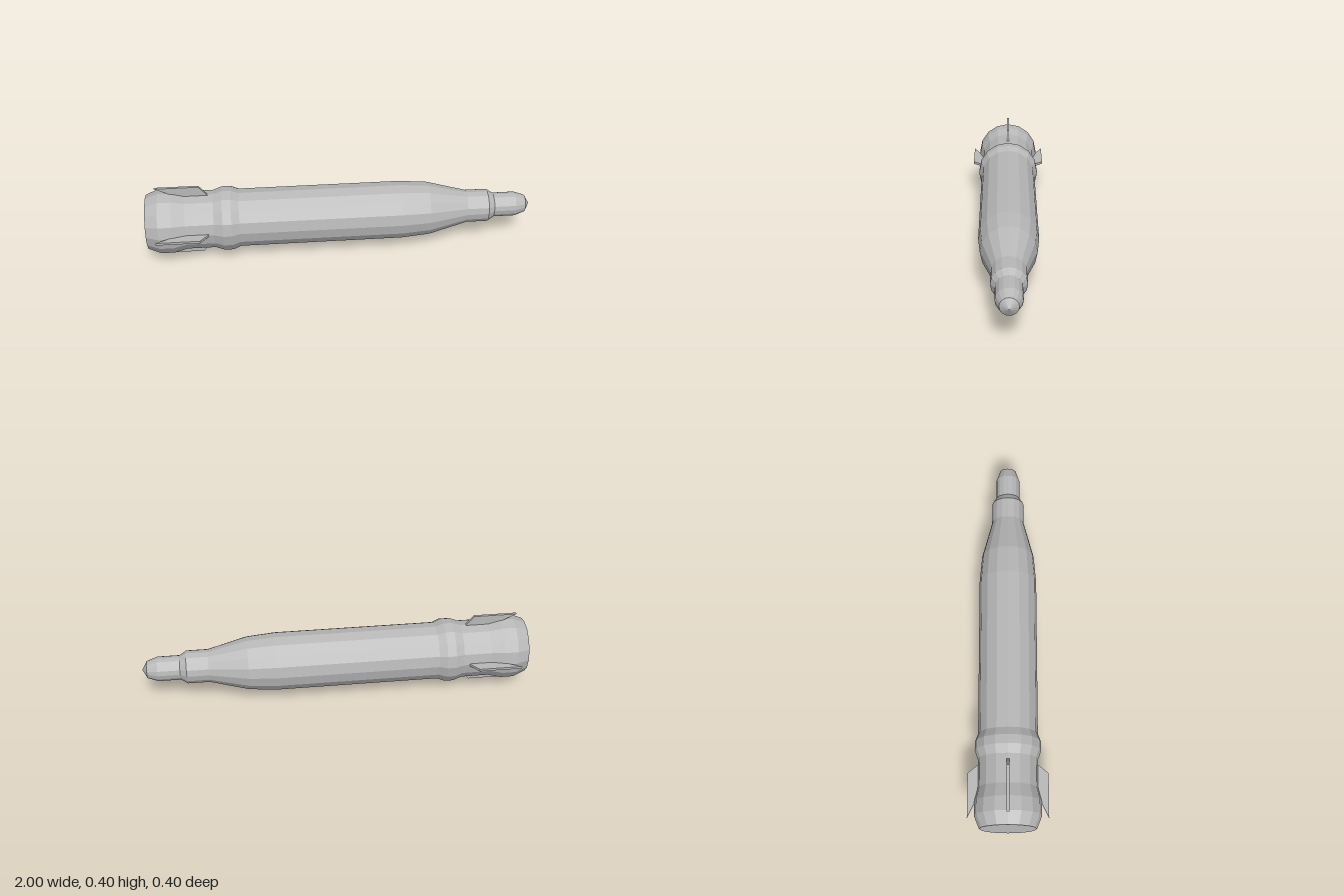
import * as THREE from 'three';

export function createModel() {
  const model = new THREE.Group();
  model.name = 'missile';
  const metal = new THREE.MeshStandardMaterial({ color: 0xb8b8b8, flatShading: true });
  metal.name = 'grey metal';
  const AXIS_Y = 0.2;

  // Body: sixteen-sided lathe, given as [x along the length, radius]
  const profile = [
    [-1, 0], [-1, 0.142], [-0.935, 0.168], [-0.865, 0.168], [-0.8, 0.151], // tail
    [-0.655, 0.151], [-0.61, 0.167], [-0.565, 0.167], [-0.525, 0.151],     // collar
    [0.31, 0.151], [0.457, 0.139], [0.66, 0.086],                          // barrel and taper
    [0.772, 0.086], [0.806, 0.064], [0.92, 0.064], [0.975, 0.045], [1, 0], // stepped nose
  ].map(([x, r]) => new THREE.Vector2(r, x));
  const bodyGeometry = new THREE.LatheGeometry(profile, 16);
  bodyGeometry.rotateZ(-Math.PI / 2);
  const body = new THREE.Mesh(bodyGeometry, metal);
  body.name = 'body';
  body.position.y = AXIS_Y;
  model.add(body);

  // Tail fins: swept plates, rooted inside the body
  const thickness = 0.013;
  const outline = new THREE.Shape([
    [-0.82, 0.14], [-0.675, 0.14], [-0.725, 0.202], [-0.948, 0.202],
  ].map(([x, r]) => new THREE.Vector2(x, r)));
  const finGeometry = new THREE.ExtrudeGeometry(outline, { depth: thickness, bevelEnabled: false });
  finGeometry.translate(0, 0, -thickness / 2);
  ['topFin', 'frontFin', 'bottomFin', 'backFin'].forEach((name, i) => {
    const fin = new THREE.Mesh(finGeometry, metal);
    fin.name = name;
    fin.position.y = AXIS_Y;
    fin.rotation.x = i * Math.PI / 2;
    model.add(fin);
  });

  return model;
}
